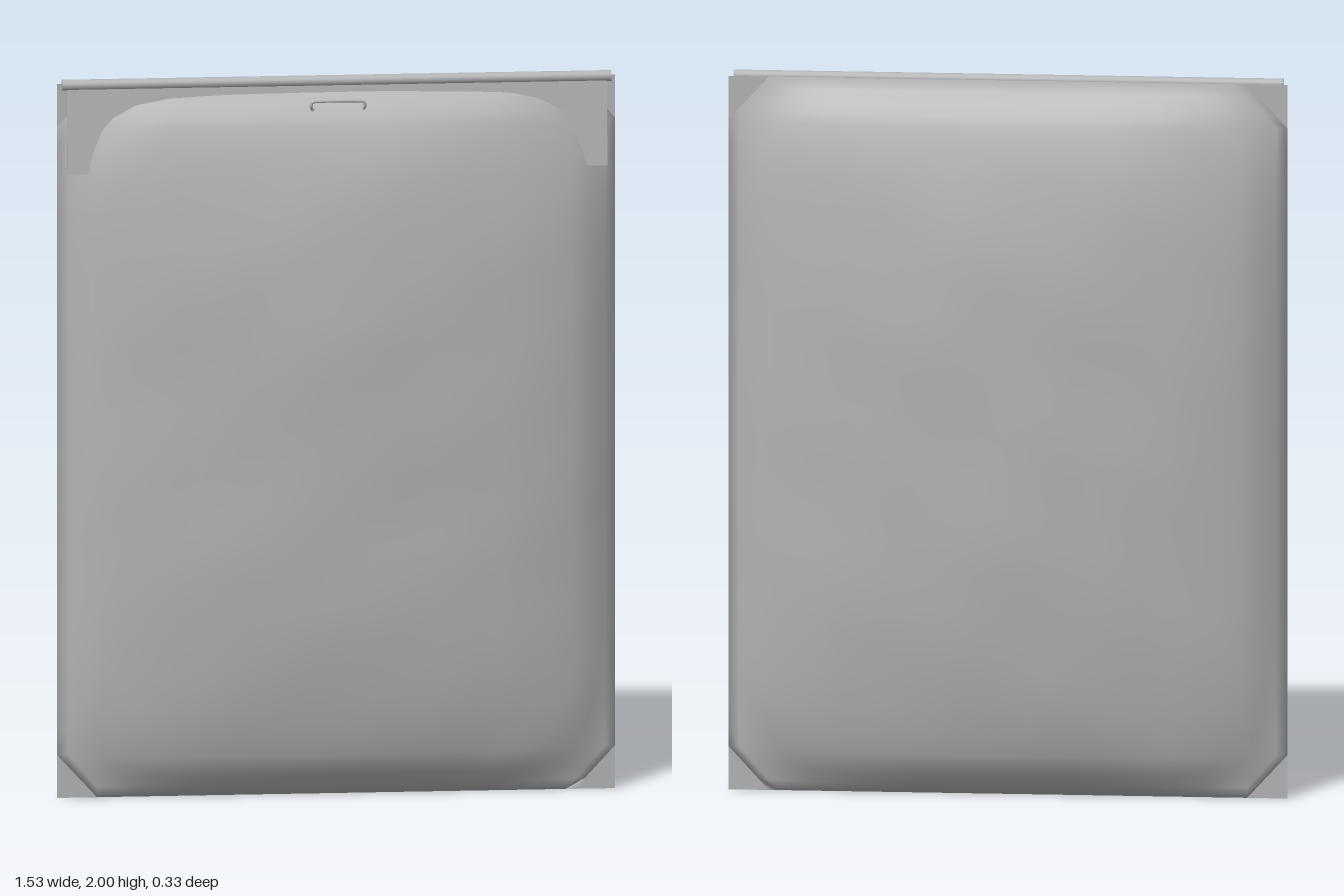
import * as THREE from 'three';
import { mergeVertices } from 'three/addons/utils/BufferGeometryUtils.js';

const W = 0.765, TOP = 1.985, H = TOP / 2, CUT_X = 0.11, CUT_Y = 0.12, DEPTH = 0.162;

// Swelling of the bag by distance from its edge, 0 to 1
const PROFILE = [[0, 0], [0.06, 0.31], [0.1, 0.47], [0.14, 0.57], [0.26, 0.75], [0.44, 0.9], [0.65, 0.98], [1, 1]];
function swell(d) {
  for (let i = 1; i < PROFILE.length; i++) {
    const [d0, v0] = PROFILE[i - 1], [d1, v1] = PROFILE[i];
    if (d <= d1) return v0 + (v1 - v0) * (d - d0) / (d1 - d0);
  }
  return 1;
}

// Grid positions across a half-size, denser at the edges
function spread(half) {
  const edge = [0, 0.03, 0.06, 0.09, 0.12, 0.18, 0.26].map(d => -half + d);
  const out = [...edge], from = -half + 0.26;
  for (let i = 1; i < 16; i++) out.push(from * (1 - i / 8));
  return [...out, ...edge.map(v => -v).reverse()];
}

function bagDepth(x, y, side) {
  const dx = W - Math.abs(x), dy = H - Math.abs(y);
  const corner = Math.max(0, (dx / CUT_X + dy / CUT_Y - 1) * 0.08);
  const round = Math.min(1, Math.sqrt(corner / 0.16));
  const dents = 0.02 * Math.sin(7 * x + 3 * y + side) * Math.sin(6 * y - 2 * x)
    + 0.018 * Math.sin(13 * x - 5 * y) * Math.sin(11 * y + 4 * x + 2 * side);
  return DEPTH * swell(dx) * swell(dy) * round * (1 + dents);
}

// Closed cushion with cut corners, front and back joined at the seam
function bagGeometry() {
  const xs = spread(W), ys = spread(H), n = xs.length;
  const pos = [], index = [];
  for (const side of [1, -1]) {
    const base = pos.length / 3;
    ys.forEach(y => {
      const w = W - CUT_X * Math.max(0, 1 - (H - Math.abs(y)) / CUT_Y);
      xs.forEach(x => {
        const px = x * w / W;
        pos.push(px, y + H, side * bagDepth(px, y, side));
      });
    });
    for (let j = 0; j < ys.length - 1; j++) {
      for (let i = 0; i < n - 1; i++) {
        const a = base + j * n + i, b = a + 1, c = b + n, d = a + n;
        if (side > 0) index.push(a, b, c, a, c, d);
        else index.push(a, c, b, a, d, c);
      }
    }
  }
  let geo = new THREE.BufferGeometry();
  geo.setAttribute('position', new THREE.Float32BufferAttribute(pos, 3));
  geo.setIndex(index);
  geo = mergeVertices(geo, 1e-5);
  geo.computeVertexNormals();
  return geo;
}

export function createModel() {
  const group = new THREE.Group();
  const grey = new THREE.MeshStandardMaterial({ color: 0xb2b2b2, side: THREE.DoubleSide });
  grey.name = 'grey';
  const add = (name, geo) => {
    const mesh = new THREE.Mesh(geo, grey);
    mesh.name = name;
    group.add(mesh);
    return mesh;
  };

  add('bag', bagGeometry());

  // Flat seam triangles at the four corners
  for (const sx of [-1, 1]) for (const sy of [-1, 1]) {
    const tri = new THREE.Shape([
      new THREE.Vector2(sx * W, sy * H),
      new THREE.Vector2(sx * (W - CUT_X), sy * H),
      new THREE.Vector2(sx * W, sy * (H - CUT_Y)),
    ]);
    const geo = new THREE.ExtrudeGeometry(tri, { depth: 0.002, bevelEnabled: false });
    add('cornerSeam', geo.translate(0, H, -0.001));
  }

  // Rolled bar along the top edge
  const bar = add('topBar', new THREE.CylinderGeometry(0.015, 0.015, 1.505, 16));
  bar.rotation.z = Math.PI / 2;
  bar.position.set(0, 1.985, 0.015);

  // Front flap hanging from the bar, leaning slightly outward
  const flap = add('frontFlap', new THREE.BoxGeometry(1.48, 0.24, 0.006).translate(0, -0.12, 0));
  flap.position.set(0, 1.98, 0.02);
  flap.rotation.x = -0.09;

  // Small wire pull on the flap
  const wire = new THREE.CatmullRomCurve3([
    [-0.07, 1.912, 0.055], [-0.074, 1.922, 0.063], [-0.07, 1.934, 0.064], [-0.055, 1.936, 0.064],
    [0.055, 1.936, 0.064], [0.07, 1.934, 0.064], [0.074, 1.922, 0.063], [0.07, 1.912, 0.055],
  ].map(p => new THREE.Vector3(...p)));
  add('pull', new THREE.TubeGeometry(wire, 40, 0.004, 8));
  for (const s of [-1, 1]) {
    const end = add('pullEnd', new THREE.SphereGeometry(0.006, 10, 8));
    end.position.set(s * 0.07, 1.912, 0.055);
  }
  return group;
}
